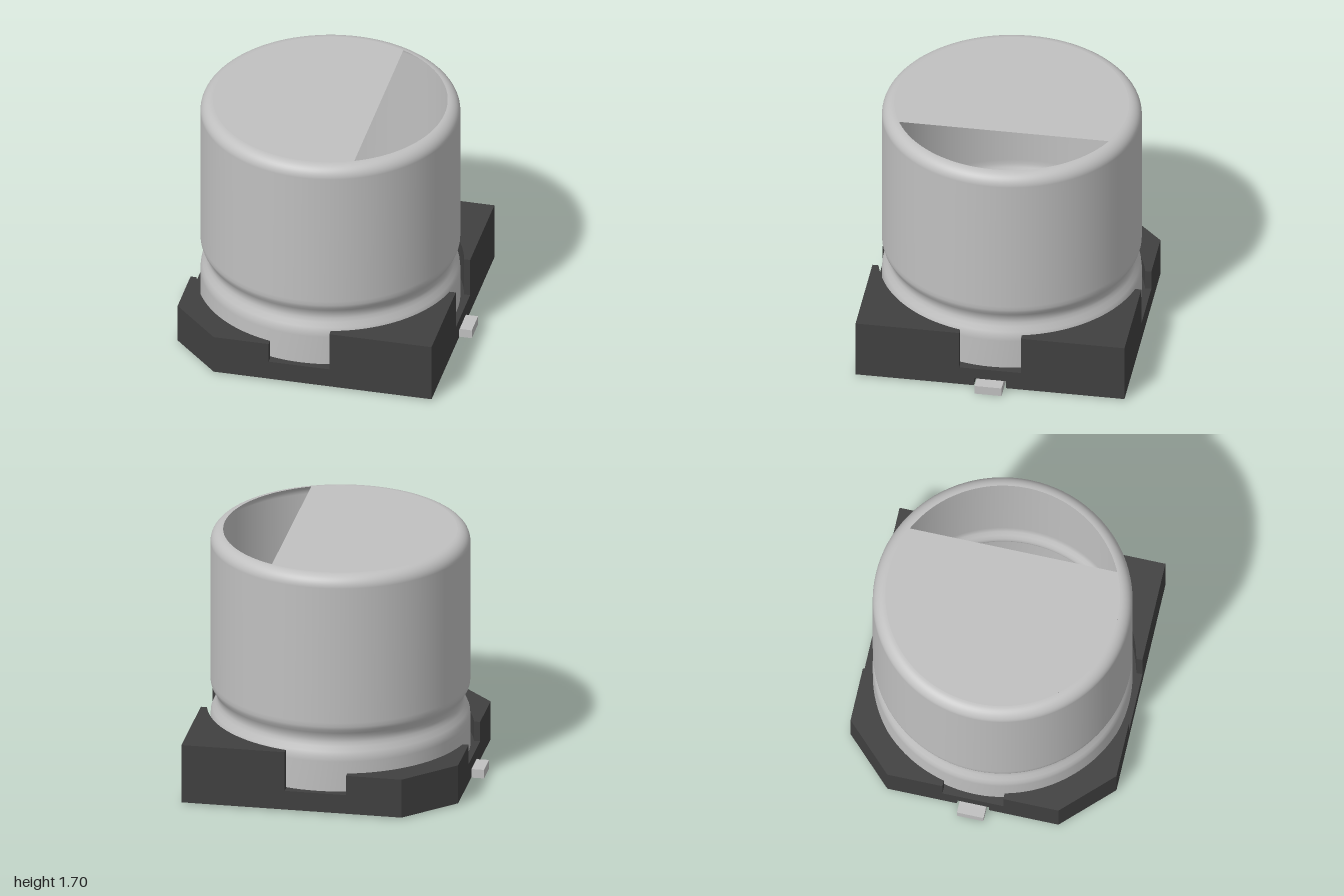
import * as THREE from 'three';
import { toCreasedNormals } from 'three/addons/utils/BufferGeometryUtils.js';

const metal = new THREE.MeshStandardMaterial({ color: 0xc0c0c0, side: THREE.DoubleSide });
metal.name = 'aluminium';
const plastic = new THREE.MeshStandardMaterial({ color: 0x404040 });
plastic.name = 'dark plastic';

const S = 0.917;       // half width of the base
const C = 0.59;        // where the chamfers start
const NOTCH = 0.21;    // half width of the side notches
const CAVITY = 0.9;    // radius of the round seat in the base
const SLOT = 0.11;     // half width of the lead slots
const SLOT_END = 0.13;
const FLOOR = 0.145;

const pts = (list) => list.map(([x, y]) => new THREE.Vector2(x, y));

// Upright prism with a footprint in x/z, from y0 to y1
function prism(name, shape, y0, y1) {
  let geo = new THREE.ExtrudeGeometry(shape, { depth: y1 - y0, bevelEnabled: false });
  geo.rotateX(-Math.PI / 2);
  geo.translate(0, y0, 0);
  geo = toCreasedNormals(geo, 0.5);
  const mesh = new THREE.Mesh(geo, plastic);
  mesh.name = name;
  return mesh;
}

// Raised corner of the base, hollowed by the round seat
function cornerWall(sx, sz) {
  const outer = sx > 0 ? [[S, NOTCH], [S, S], [NOTCH, S]] : [[S, NOTCH], [S, C], [C, S], [NOTCH, S]];
  const a0 = Math.asin(NOTCH / CAVITY), a1 = Math.PI / 2 - a0, n = 24;
  for (let i = 0; i <= n; i++) {
    const a = a1 + (a0 - a1) * i / n;
    outer.push([CAVITY * Math.cos(a), CAVITY * Math.sin(a)]);
  }
  const shape = new THREE.Shape(pts(outer.map(([x, z]) => [x * sx, -z * sz])));
  return prism('cornerWall', shape, FLOOR, sx > 0 ? 0.425 : 0.285);
}

function createBase() {
  const base = new THREE.Group();
  base.name = 'base';
  // lower layer, with slots open at the edges
  base.add(prism('slottedPlate', new THREE.Shape(pts([
    [-C, -S], [S, -S], [S, -SLOT], [SLOT_END, -SLOT], [SLOT_END, SLOT], [S, SLOT], [S, S],
    [-C, S], [-S, C], [-S, SLOT], [-SLOT_END, SLOT], [-SLOT_END, -SLOT], [-S, -SLOT], [-S, -C],
  ])), 0.01, 0.067));
  // upper layer, closing the slots at the rim
  const floor = new THREE.Shape(pts([[-C, -S], [S, -S], [S, S], [-C, S], [-S, C], [-S, -C]]));
  for (const s of [-1, 1]) {
    floor.holes.push(new THREE.Path(pts([
      [s * SLOT_END, -SLOT], [s * 0.84, -SLOT], [s * 0.84, SLOT], [s * SLOT_END, SLOT],
    ])));
  }
  base.add(prism('floorPlate', floor, 0.067, FLOOR));
  for (const sx of [-1, 1]) for (const sz of [-1, 1]) base.add(cornerWall(sx, sz));
  return base;
}

function createCan() {
  const can = new THREE.Group();
  can.name = 'can';
  // side wall with the crimped groove and rounded shoulder
  const profile = [
    [0.875, FLOOR], [0.875, 0.36], [0.872, 0.395], [0.86, 0.425], [0.842, 0.458], [0.833, 0.485],
    [0.832, 0.505], [0.836, 0.53], [0.85, 0.558], [0.867, 0.585], [0.874, 0.61], [0.875, 0.64], [0.875, 1.615],
  ];
  for (let i = 1; i <= 10; i++) {
    const a = (i / 10) * Math.PI / 2;
    profile.push([0.79 + 0.085 * Math.cos(a), 1.615 + 0.085 * Math.sin(a)]);
  }
  const wall = new THREE.Mesh(new THREE.LatheGeometry(pts(profile), 96), metal);
  wall.name = 'canWall';
  can.add(wall);
  // flat top, open on one side of a chord
  const a = Math.acos(0.335 / 0.79);
  const shape = new THREE.Shape();
  shape.absarc(0, 0, 0.79, a, Math.PI * 2 - a, false);
  const top = new THREE.Mesh(new THREE.ShapeGeometry(shape, 72), metal);
  top.name = 'canTop';
  top.rotation.x = -Math.PI / 2;
  top.position.y = 1.7;
  can.add(top);
  return can;
}

export function createModel() {
  const model = new THREE.Group();
  model.name = 'surfaceMountCapacitor';
  model.add(createBase(), createCan());
  // flat leads under the base
  for (const s of [-1, 1]) {
    const lead = new THREE.Mesh(new THREE.BoxGeometry(0.75, 0.062, 0.184), metal);
    lead.name = s > 0 ? 'leftLead' : 'rightLead';
    lead.position.set(s * 0.625, 0.031, 0);
    model.add(lead);
  }
  return model;
}
